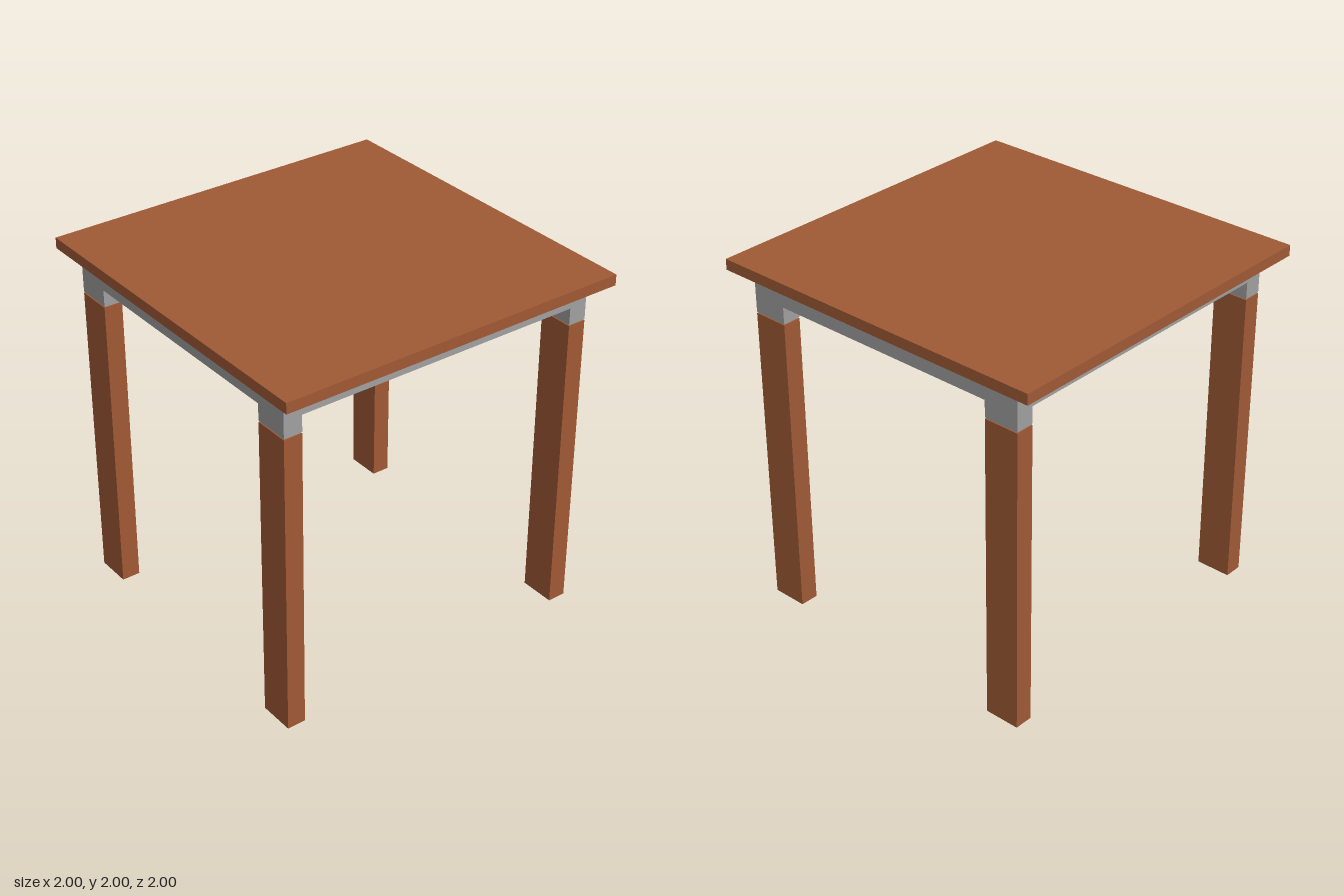
import * as THREE from 'three';

export function createModel() {
  const table = new THREE.Group();
  table.name = 'table';

  const wood = new THREE.MeshStandardMaterial({ color: 0xa05a35 });
  wood.name = 'brown wood';
  const metal = new THREE.MeshStandardMaterial({ color: 0xa0a0a0 });
  metal.name = 'grey frame';

  // Adds a box spanning y0 to y1, centred on x and z
  function addBox(parent, name, material, width, depth, y0, y1, x = 0, z = 0) {
    const mesh = new THREE.Mesh(new THREE.BoxGeometry(width, y1 - y0, depth), material);
    mesh.name = name;
    mesh.position.set(x, (y0 + y1) / 2, z);
    parent.add(mesh);
  }

  // Square top on a solid frame slab
  addBox(table, 'tabletop', wood, 2, 2, 1.94, 2);
  addBox(table, 'frame', metal, 1.856, 1.752, 1.812, 1.94);

  // Four corners: frame block, narrow neck and leg
  const legWidth = 0.104, legDepth = 0.2;
  for (const sx of [-1, 1]) {
    for (const sz of [-1, 1]) {
      const corner = new THREE.Group();
      corner.name = (sz > 0 ? 'front' : 'back') + (sx > 0 ? 'Left' : 'Right') + 'Corner';
      corner.position.set(sx * (0.928 - legWidth / 2), 0, sz * (0.876 - legDepth / 2));
      addBox(corner, 'cornerBlock', metal, legWidth, legDepth, 1.72, 1.812);
      addBox(corner, 'neck', metal, legWidth - 0.012, legDepth - 0.012, 1.712, 1.72);
      addBox(corner, 'leg', wood, legWidth, legDepth, 0, 1.712);
      table.add(corner);
    }
  }
  return table;
}
